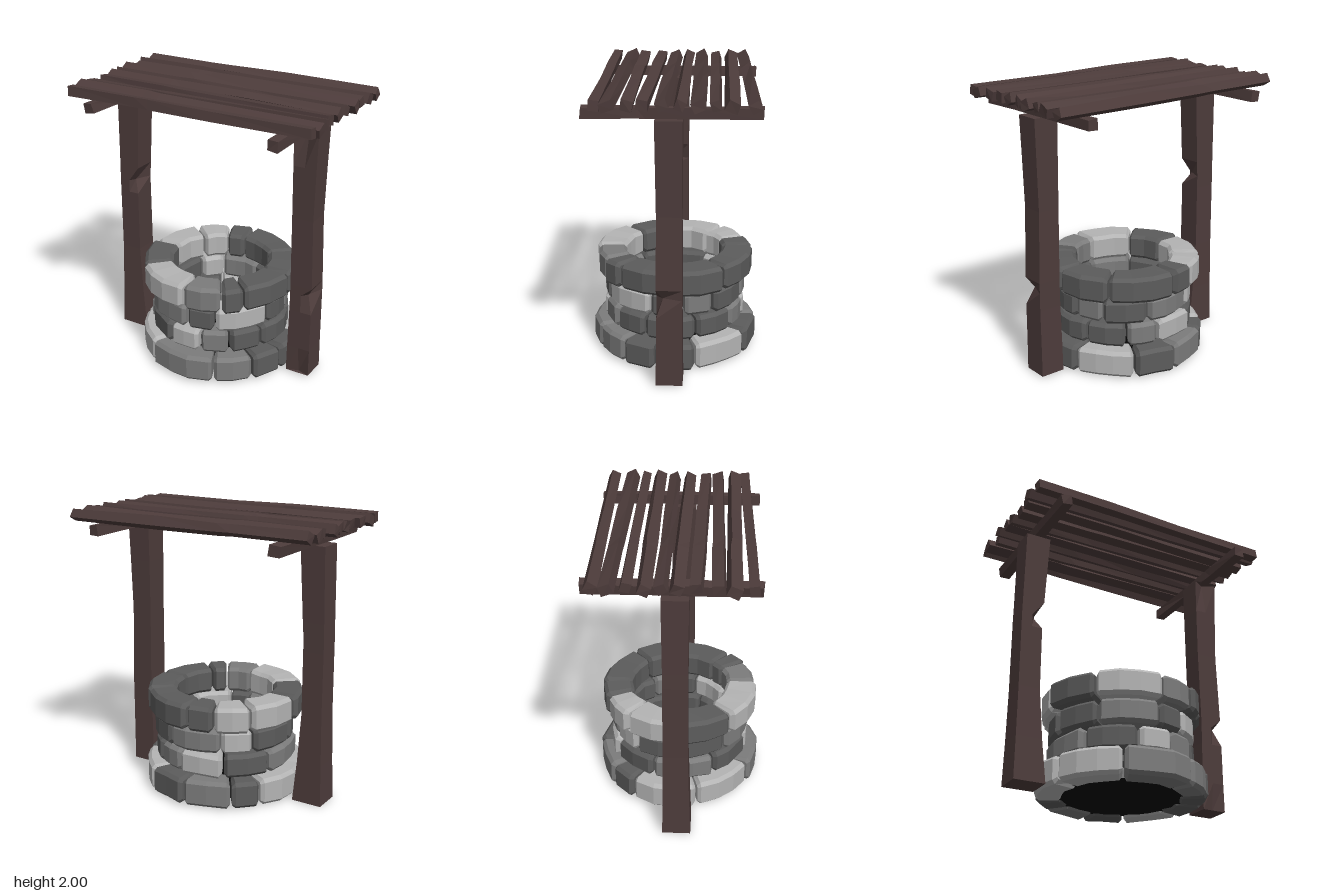
import * as THREE from 'three';

let seed = 7;
const rand = () => (seed = (seed * 16807) % 2147483647) / 2147483647;
const jitter = (a) => (rand() * 2 - 1) * a;

const wood = new THREE.MeshStandardMaterial({ color: 0x4d3c3b, flatShading: true });
const greys = [0x5c5c5c, 0x7c7c7c, 0xb4b4b4].map(
  (color) => new THREE.MeshStandardMaterial({ color, flatShading: true }));

// Closed solid through equal-sized rings of [x, y, z] points, capped at both ends
function loft(rings) {
  const pos = [];
  const tri = (...pts) => pts.forEach((p) => pos.push(...p));
  const n = rings[0].length;
  for (let k = 0; k < rings.length - 1; k++) {
    const a = rings[k], b = rings[k + 1];
    for (let i = 0; i < n; i++) {
      const j = (i + 1) % n;
      tri(a[i], a[j], b[j]);
      tri(a[i], b[j], b[i]);
    }
  }
  const first = rings[0], last = rings[rings.length - 1];
  for (let i = 1; i < n - 1; i++) {
    tri(first[0], first[i + 1], first[i]);
    tri(last[0], last[i], last[i + 1]);
  }
  const g = new THREE.BufferGeometry();
  g.setAttribute('position', new THREE.Float32BufferAttribute(pos, 3));
  g.computeVertexNormals();
  return g;
}

function add(parent, name, geometry, material) {
  const mesh = new THREE.Mesh(geometry, material);
  mesh.name = name;
  parent.add(mesh);
  return mesh;
}

// Curved block with bevelled edges, spanning two angles (degrees from the front)
function stone(rIn, rOut, y0, y1, from, to) {
  const rad = Math.PI / 180, bevel = 0.024;
  const a = from * rad + 0.008 / rOut, b = to * rad - 0.008 / rOut, e = bevel / rOut;
  const steps = Math.max(1, Math.round((to - from) / 17));
  const stations = [[a, bevel]];
  for (let i = 0; i <= steps; i++) stations.push([a + e + (b - a - 2 * e) * i / steps, 0]);
  stations.push([b, bevel]);
  const shift = jitter(0.008);
  return loft(stations.map(([t, inset]) => {
    const ro = rOut + shift + jitter(0.008) - inset, ri = rIn + jitter(0.01) + inset;
    const top = y1 + jitter(0.004) - inset, bot = y0 + jitter(0.003) + inset;
    const c = inset ? 0.012 : bevel;
    return [[ri + c, top], [ro - c, top], [ro, top - c], [ro, bot + c],
      [ro - c, bot], [ri + c, bot], [ri, bot + c], [ri, top - c]]
      .map(([r, y]) => [r * Math.sin(t), y, r * Math.cos(t)]);
  }));
}

// Post from levels [y, xMin, xMax, zMin, zMax, cornerDent, faceDent]
function post(levels) {
  return loft(levels.map(([y, x0, x1, z0, z1, corner = 0, face = 0]) => {
    const xm = (x0 + x1) / 2;
    return [[x1 - corner, y, z1 - corner], [x1, y, z0], [xm, y, z0],
      [x0, y, z0], [x0, y, z1], [xm, y, z1 - face]];
  }));
}

// Rough plank along x, rolled about its own length
function plank(xa, xb, za, zb, y, w, h, roll) {
  const cuts = [0, 0.3, 0.36, 0.62, 1];
  return loft(cuts.map((t) => {
    const x = xa + (xb - xa) * t, z = za + (zb - za) * t, r = roll + jitter(0.06);
    return [[1, 1], [-1, 1], [-1, -1], [1, -1]].map(([sy, sz]) => {
      const py = sy * h / 2 + jitter(0.004), pz = sz * w / 2 + jitter(0.004);
      return [x + jitter(0.006), y + py * Math.cos(r) - pz * Math.sin(r),
        z + py * Math.sin(r) + pz * Math.cos(r)];
    });
  }));
}

export function createModel() {
  seed = 7;
  const model = new THREE.Group();
  model.name = 'well';

  // Four courses of stones: radii, heights, joint angles and grey of each stone
  const courses = [
    [0.39, 0.58, 0.01, 0.2, [-75, -27, 25, 54, 78, 107, 150, 181, 216, 237], '2110020102'],
    [0.33, 0.5, 0.205, 0.37, [-58, -15, 13, 38, 67, 110, 145, 172, 210, 250], '0210001201'],
    [0.33, 0.5, 0.38, 0.548, [-47, 2, 26, 72, 100, 125, 162, 208, 235, 275], '1020101200'],
    [0.345, 0.555, 0.55, 0.732, [-47, 2, 31, 48, 90, 131, 182, 203, 231, 272], '2100000220'],
  ];
  const wall = new THREE.Group();
  wall.name = 'stoneWall';
  model.add(wall);
  courses.forEach(([ri, ro, y0, y1, joints, shades], c) => joints.forEach((from, i) => {
    const to = i + 1 < joints.length ? joints[i + 1] : joints[0] + 360;
    add(wall, `course${c + 1}Stone${i + 1}`, stone(ri, ro, y0, y1, from, to), greys[+shades[i]]);
  }));

  // Dark bottom of the shaft
  const dark = new THREE.MeshStandardMaterial({ color: 0x050505, side: THREE.DoubleSide });
  const floor = add(model, 'shaftFloor', new THREE.CircleGeometry(0.43, 24), dark);
  floor.rotation.x = -Math.PI / 2;
  floor.position.y = 0.025;

  // Posts with chipped edges
  add(model, 'rightPost', post([
    [0, -0.825, -0.605, -0.085, 0.11],
    [0.3, -0.818, -0.635, -0.08, 0.1],
    [0.65, -0.812, -0.66, -0.078, 0.09],
    [1.1, -0.812, -0.66, -0.075, 0.088],
    [1.19, -0.812, -0.66, -0.075, 0.088, 0.05],
    [1.3, -0.81, -0.652, -0.075, 0.088],
    [1.82, -0.803, -0.625, -0.08, 0.092],
  ]), wood);
  add(model, 'leftPost', post([
    [0.01, 0.6, 0.775, -0.085, 0.095, 0, 0.03],
    [0.21, 0.603, 0.775, -0.083, 0.092],
    [0.5, 0.61, 0.776, -0.08, 0.09],
    [0.63, 0.612, 0.776, -0.08, 0.09, 0.045],
    [0.7, 0.612, 0.775, -0.08, 0.09],
    [1.2, 0.606, 0.762, -0.078, 0.086],
    [1.57, 0.604, 0.772, -0.08, 0.09],
    [1.826, 0.604, 0.78, -0.083, 0.093, 0, 0.05],
  ]), wood);

  // Cross beams on the posts, running front to back
  for (const [name, x, z0, z1, w, roll] of [
    ['rightCrossBeam', -0.708, -0.575, 0.54, 0.075, -0.15],
    ['leftCrossBeam', 0.692, -0.58, 0.555, 0.066, 0.02],
  ]) {
    const beam = add(model, name, plank(-z1, -z0, 0, 0, 0, w, 0.07, roll), wood);
    beam.rotation.y = Math.PI / 2;
    beam.position.set(x, 1.862, 0);
  }

  // Roof planks: x ends, z at each end, width, roll
  const roof = new THREE.Group();
  roof.name = 'roof';
  model.add(roof);
  [
    [-0.905, 0.91, -0.485, -0.52, 0.07, 0.5],
    [-0.925, 0.915, -0.395, -0.385, 0.075, -0.4],
    [-0.885, 0.9, -0.28, -0.285, 0.06, 0.3],
    [-0.925, 0.915, -0.17, -0.18, 0.075, 0.5],
    [-0.905, 0.89, -0.07, -0.07, 0.062, -0.45],
    [-0.905, 0.89, 0.025, 0.04, 0.07, 0.35],
    [-0.885, 0.885, 0.135, 0.16, 0.072, -0.1],
    [-0.9, 0.9, 0.27, 0.25, 0.072, -0.2],
    [-0.92, 0.925, 0.36, 0.37, 0.078, 0.4],
    [-0.905, 0.905, 0.48, 0.445, 0.062, -0.15],
  ].forEach(([xa, xb, za, zb, w, roll], i) =>
    add(roof, `roofPlank${i + 1}`, plank(xa, xb, za, zb, 1.946, w, 0.064, roll), wood));

  return model;
}
